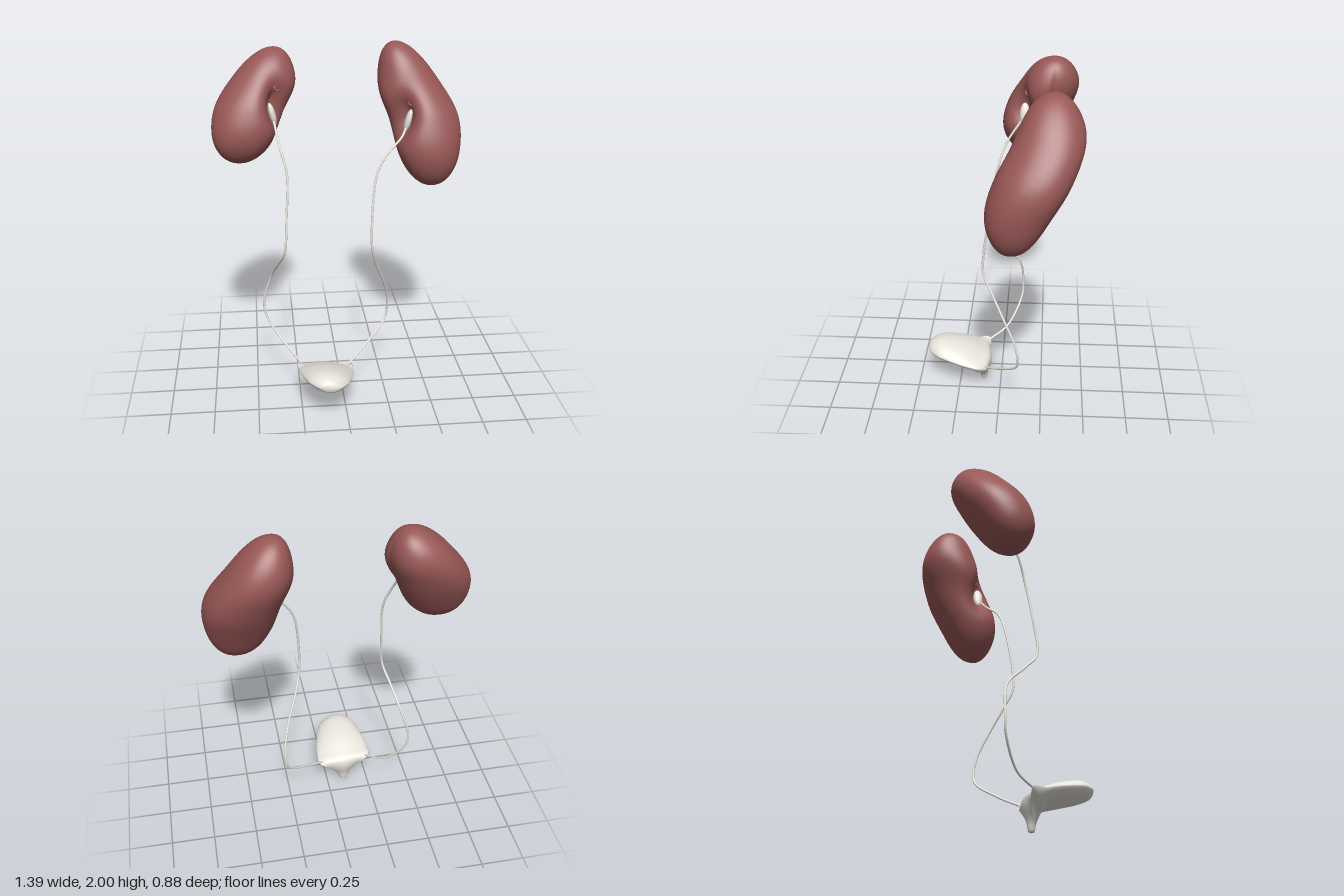
import * as THREE from 'three';
import { mergeVertices } from 'three/addons/utils/BufferGeometryUtils.js';

const red = new THREE.MeshStandardMaterial({ color: 0x985856 });
const pale = new THREE.MeshStandardMaterial({ color: 0xe6e3da });
const V = (x, y, z) => new THREE.Vector3(x, y, z);
const curveThrough = (points) => new THREE.CatmullRomCurve3(points.map((p) => V(...p)));

function addMesh(parent, name, geometry, material) {
  const mesh = new THREE.Mesh(geometry, material);
  mesh.name = name;
  parent.add(mesh);
  return mesh;
}

// Smooth closed skin through rings; at(t, angle) gives a surface point
function loft(at, rings, sides) {
  const pos = [], index = [];
  for (let i = 0; i <= rings; i++) {
    for (let j = 0; j < sides; j++) pos.push(...at(i / rings, (j / sides) * Math.PI * 2).toArray());
  }
  for (let i = 0; i < rings; i++) {
    for (let j = 0; j < sides; j++) {
      const a = i * sides + j, b = i * sides + (j + 1) % sides;
      index.push(a, b, a + sides, b, b + sides, a + sides);
    }
  }
  let g = new THREE.BufferGeometry();
  g.setAttribute('position', new THREE.Float32BufferAttribute(pos, 3));
  g.setIndex(index);
  g = mergeVertices(g, 1e-5);
  g.computeVertexNormals();
  return g;
}

// Rounded body along a bent spine; a slanting hollow (hilum) lies under a bulging upper lip
function kidney(spine, rx, rz, hilum) {
  const curve = curveThrough(spine);
  curve.curveType = 'catmullrom';
  return loft((t, u) => {
    const s = Math.cos(t * Math.PI), r = Math.sin(t * Math.PI);
    const c = curve.getPoint((1 - s) / 2);
    const rise = c.y - hilum.y;
    const turn = u - hilum.angle - hilum.slant * rise;
    const da = Math.atan2(Math.sin(turn), Math.cos(turn)) / 0.4;
    const hollow = 0.52 * Math.exp(-da * da - (rise / 0.11) ** 2);
    const lip = 0.1 * Math.exp(-(((u - hilum.lip) / 0.6) ** 2) - ((rise - 0.1) / 0.12) ** 2);
    const k = r * (1 - hollow + lip + 0.035 * Math.sin(2 * u) ** 2);
    c.x += Math.cos(u) * rx * k * (1 - 0.08 * s);
    c.z += Math.sin(u) * rz * k * (1 + 0.04 * s);
    return c;
  }, 90, 80);
}

// Bladder rings from front tip to outlet: [topZ, topY, bottomZ, bottomY, halfWidth, cornerLift]
function bladder() {
  const rows = [
    [.443, .228, .443, .228, 0, 0],
    [.432, .256, .432, .2, .055, 0],
    [.37, .28, .37, .172, .112, 0],
    [.24, .26, .25, .142, .148, .05],
    [.13, .217, .175, .122, .158, .3],
    [.07, .185, .155, .1, .155, .95],
    [.058, .14, .145, .08, .09, .5],
    [.08, .055, .13, .042, .038, 0],
    [.092, 0, .12, 0, .016, 0],
    [.106, 0, .106, 0, 0, 0],
  ];
  const top = curveThrough(rows.map(([z, y]) => [-.104, y, z]));
  const bottom = curveThrough(rows.map(([, , z, y]) => [-.104, y, z]));
  const spread = curveThrough(rows.map(([, , , , w, lift], i) => [w, lift, i]));
  return loft((t, u) => {
    const a = top.getPoint(t), b = bottom.getPoint(t), e = spread.getPoint(t);
    const p = a.clone().lerp(b, .5), s = Math.sin(u), c = Math.cos(u);
    const width = Math.max(e.x, 0);
    p.addScaledVector(a.sub(b), .5 * (c * Math.abs(c) ** .35 + e.y * s * s * (1 - Math.abs(c))));
    p.x += s * width;
    p.y = Math.max(p.y - s * width * .08, 0);
    return p;
  }, 72, 48);
}

// Kidney with its white funnel, ureter and open vessel stub
function addSide(model, name, kidneyGeometry, pelvisAt, vesselPath, ureterPath) {
  const group = new THREE.Group();
  group.name = name + 'Side';
  model.add(group);
  addMesh(group, name + 'Kidney', kidneyGeometry, red);

  const pelvis = addMesh(group, name + 'RenalPelvis', new THREE.SphereGeometry(1, 24, 16), pale);
  pelvis.position.set(...pelvisAt);
  pelvis.scale.set(.018, .065, .028);
  pelvis.rotation.z = -Math.sign(pelvisAt[0]) * .25;
  addMesh(group, name + 'Ureter', new THREE.TubeGeometry(curveThrough(ureterPath), 160, .0065, 10), pale);

  const vessel = curveThrough(vesselPath), end = vessel.getPoint(1);
  addMesh(group, name + 'Vessel', new THREE.TubeGeometry(vessel, 16, .018, 16), red);
  const rim = addMesh(group, name + 'VesselRim', new THREE.TorusGeometry(.016, .006, 10, 24), red);
  rim.position.copy(end);
  rim.lookAt(end.clone().add(vessel.getTangent(1)));
}

export function createModel() {
  const model = new THREE.Group();
  model.name = 'urinarySystem';

  addSide(model, 'left',
    kidney([[.33, 2, -.28], [.4, 1.805, -.267], [.48, 1.61, -.19], [.503, 1.415, -.113], [.52, 1.22, -.08]],
      .195, .193, { angle: 2.4, slant: -3, y: 1.61, lip: 2.9 }),
    [.38, 1.595, -.085],
    [[.45, 1.7, -.17], [.395, 1.695, -.09]],
    [[.372, 1.57, -.08], [.34, 1.515, -.04], [.25, 1.43, .01], [.195, 1.33, .033], [.163, 1.03, .08],
      [.167, .9, .083], [.2, .78, .03], [.25, .65, -.035], [.285, .5, -.1], [.275, .365, -.113],
      [.15, .25, -.01], [.035, .175, .085]]);

  addSide(model, 'right',
    kidney([[-.35, 1.98, -.28], [-.41, 1.8275, -.258], [-.483, 1.675, -.2], [-.525, 1.5225, -.145], [-.555, 1.37, -.12]],
      .197, .182, { angle: .7, slant: 3, y: 1.69, lip: .25 }),
    [-.368, 1.64, -.12],
    [[-.4, 1.76, -.2], [-.34, 1.78, -.135]],
    [[-.362, 1.61, -.105], [-.335, 1.48, -.02], [-.302, 1.35, .025], [-.31, 1.1, .07], [-.325, .9, .083],
      [-.36, .8, .005], [-.4, .68, -.1], [-.448, .5, -.123], [-.43, .4, -.115], [-.32, .25, -.03],
      [-.24, .192, .08]]);

  addMesh(model, 'bladder', bladder(), pale);
  return model;
}
